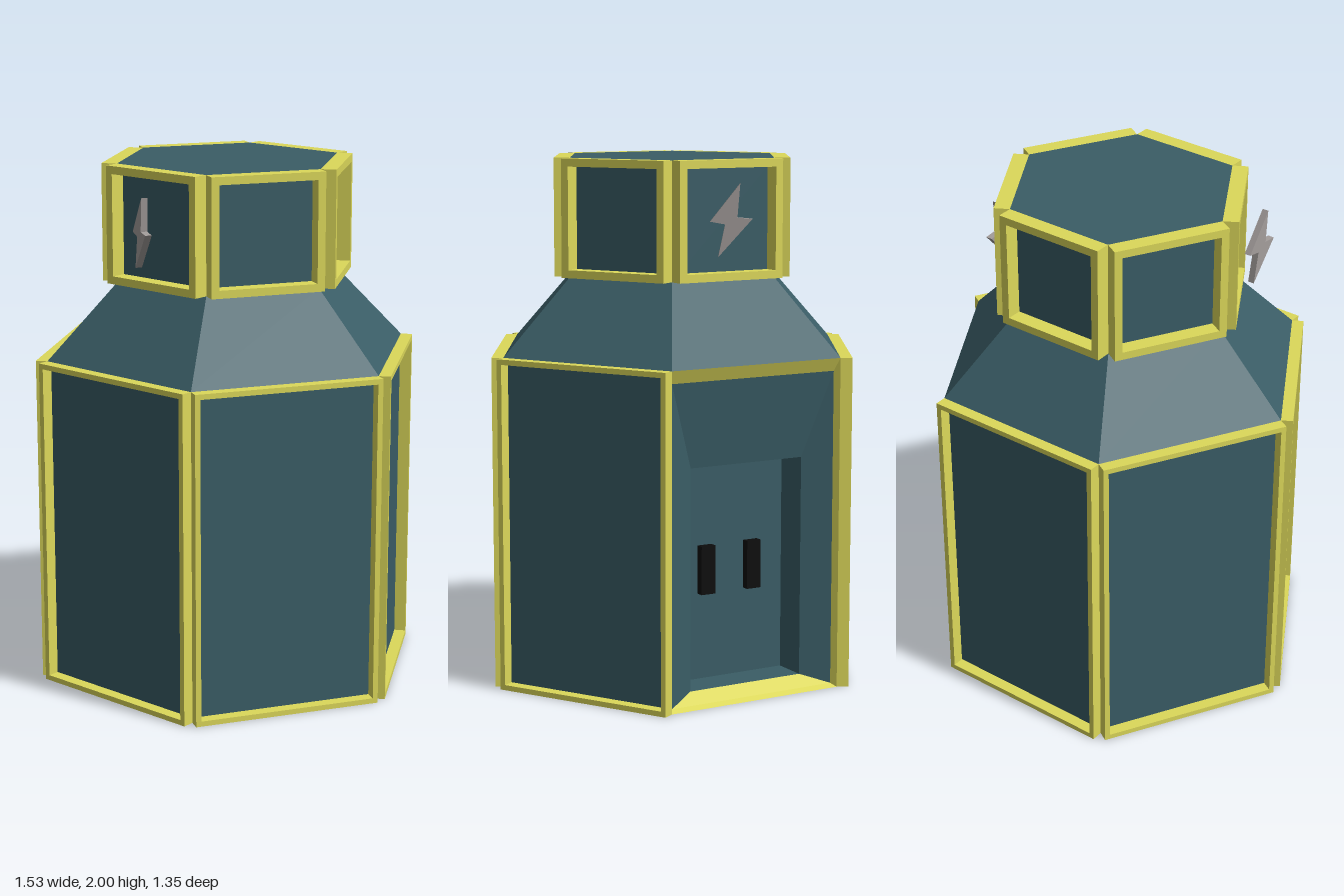
import * as THREE from 'three';

const material = (color) => new THREE.MeshStandardMaterial({ color, flatShading: true, side: THREE.DoubleSide });
const teal = material(0x3a5d66);
const yellow = material(0xdcd85a);
const grey = material(0xa39d9b);
const black = material(0x0c0c0c);

const BODY_R = 0.725, BODY_TOP = 1.265, HEAD_R = 0.442, HEAD_BASE = 1.555, TOP = 2;
const APOTHEM = Math.cos(Math.PI / 6);
const DOOR_FACE = 2; // faces are counted in 60 degree turns from the front

function add(parent, name, geometry, mat, x = 0, y = 0, z = 0) {
  const mesh = new THREE.Mesh(geometry, mat);
  mesh.name = name;
  mesh.position.set(x, y, z);
  parent.add(mesh);
  return mesh;
}

// Group whose local +z points out of one side of the hexagon
function faceGroup(parent, name, index, radius) {
  const turn = index * Math.PI / 3;
  const group = new THREE.Group();
  group.name = name;
  group.rotation.y = turn;
  group.position.set(Math.sin(turn) * radius * APOTHEM, 0, Math.cos(turn) * radius * APOTHEM);
  parent.add(group);
  return group;
}

// Raised rectangular border, centred on local x
function frameGeometry(width, y0, y1, border, depth) {
  const rect = (target, h, a, b) => target.moveTo(-h, a).lineTo(h, a).lineTo(h, b).lineTo(-h, b).closePath();
  const shape = rect(new THREE.Shape(), width / 2, y0, y1);
  shape.holes.push(rect(new THREE.Path(), width / 2 - border, y0 + border, y1 - border));
  return new THREE.ExtrudeGeometry(shape, { depth, bevelEnabled: false });
}

// Walls joining two rectangles {h, y0, y1, z}; sides: 0 bottom, 1 right, 2 top, 3 left
function rectLoft(a, b, sides) {
  const corners = ({ h, y0, y1, z }) => [[-h, y0, z], [h, y0, z], [h, y1, z], [-h, y1, z]];
  const p = corners(a), q = corners(b), points = [];
  for (const i of sides) {
    const j = (i + 1) % 4;
    points.push(...p[i], ...p[j], ...q[j], ...p[i], ...q[j], ...q[i]);
  }
  const geometry = new THREE.BufferGeometry();
  geometry.setAttribute('position', new THREE.Float32BufferAttribute(points, 3));
  geometry.computeVertexNormals();
  return geometry;
}

function buildDoorway(parent) {
  const door = faceGroup(parent, 'doorway', DOOR_FACE, BODY_R);
  const outer = { h: BODY_R / 2, y0: 0, y1: BODY_TOP, z: 0 };
  const rim = { h: 0.348, y0: 0.012, y1: 1.215, z: -0.023 };
  const mouth = { h: 0.24, y0: 0.05, y1: 0.89, z: -0.075 };
  const back = { ...mouth, z: -0.21 };
  add(door, 'doorRim', rectLoft(outer, rim, [0, 1, 2, 3]), yellow);
  add(door, 'doorSill', rectLoft(rim, mouth, [0]), yellow);
  add(door, 'doorSurround', rectLoft(rim, mouth, [1, 2, 3]), teal);
  add(door, 'doorRecess', rectLoft(mouth, back, [0, 1, 2, 3]), teal);
  add(door, 'doorPanel', new THREE.PlaneGeometry(0.48, 0.84), teal, 0, 0.47, back.z);
  for (const side of [-1, 1]) {
    add(door, 'doorHandle', new THREE.BoxGeometry(0.06, 0.185, 0.03), black, side * 0.1, 0.4725, back.z + 0.015);
  }
}

// Lightning bolt cut from a thin plate; local x is -z once turned to face +x
function boltGeometry() {
  const outline = [[0.03, 0.135], [-0.08, -0.005], [-0.025, -0.015], [-0.05, -0.135], [0.075, 0.005], [0.02, 0.01]];
  const shape = new THREE.Shape(outline.map(([x, y]) => new THREE.Vector2(x, y)));
  const geometry = new THREE.ExtrudeGeometry(shape, { depth: 0.025, bevelEnabled: false });
  return geometry.translate(0, 0, -0.0125);
}

export function createModel() {
  const model = new THREE.Group();
  model.name = 'hexagonalBooth';

  // Body walls, leaving the door side open
  const wall = new THREE.CylinderGeometry(BODY_R, BODY_R, BODY_TOP, 5, 1, true, Math.PI * 5 / 6, Math.PI * 5 / 3);
  add(model, 'bodyWalls', wall, teal, 0, BODY_TOP / 2);
  add(model, 'base', new THREE.CircleGeometry(BODY_R, 6).rotateX(Math.PI / 2), teal);
  buildDoorway(model);

  // Sloping shoulder and head
  const slope = HEAD_BASE - BODY_TOP;
  add(model, 'shoulder', new THREE.CylinderGeometry(HEAD_R, BODY_R, slope, 6, 1, true, Math.PI / 2),
    teal, 0, BODY_TOP + slope / 2);
  const headHeight = TOP - HEAD_BASE;
  add(model, 'head', new THREE.CylinderGeometry(HEAD_R, HEAD_R, headHeight, 6, 1, false, Math.PI / 2),
    teal, 0, HEAD_BASE + headHeight / 2);

  // Raised borders around each side
  const bodyFrame = frameGeometry(BODY_R, 0, BODY_TOP, 0.02, 0.045);
  const headFrame = frameGeometry(HEAD_R, HEAD_BASE, TOP, 0.03, 0.06);
  for (let i = 0; i < 6; i++) {
    if (i !== DOOR_FACE) add(faceGroup(model, 'bodySide', i, BODY_R), 'bodyFrame', bodyFrame, yellow);
    add(faceGroup(model, 'headSide', i, HEAD_R), 'headFrame', headFrame, yellow);
  }

  // Bolt emblems over the door and on the opposite side
  const bolt = boltGeometry();
  add(model, 'leftBolt', bolt, grey, 0.402, 1.78, -0.22).rotation.y = Math.PI / 2;
  add(model, 'rightBolt', bolt, grey, -0.428, 1.78, 0.27).rotation.y = -Math.PI / 2;

  return model;
}
